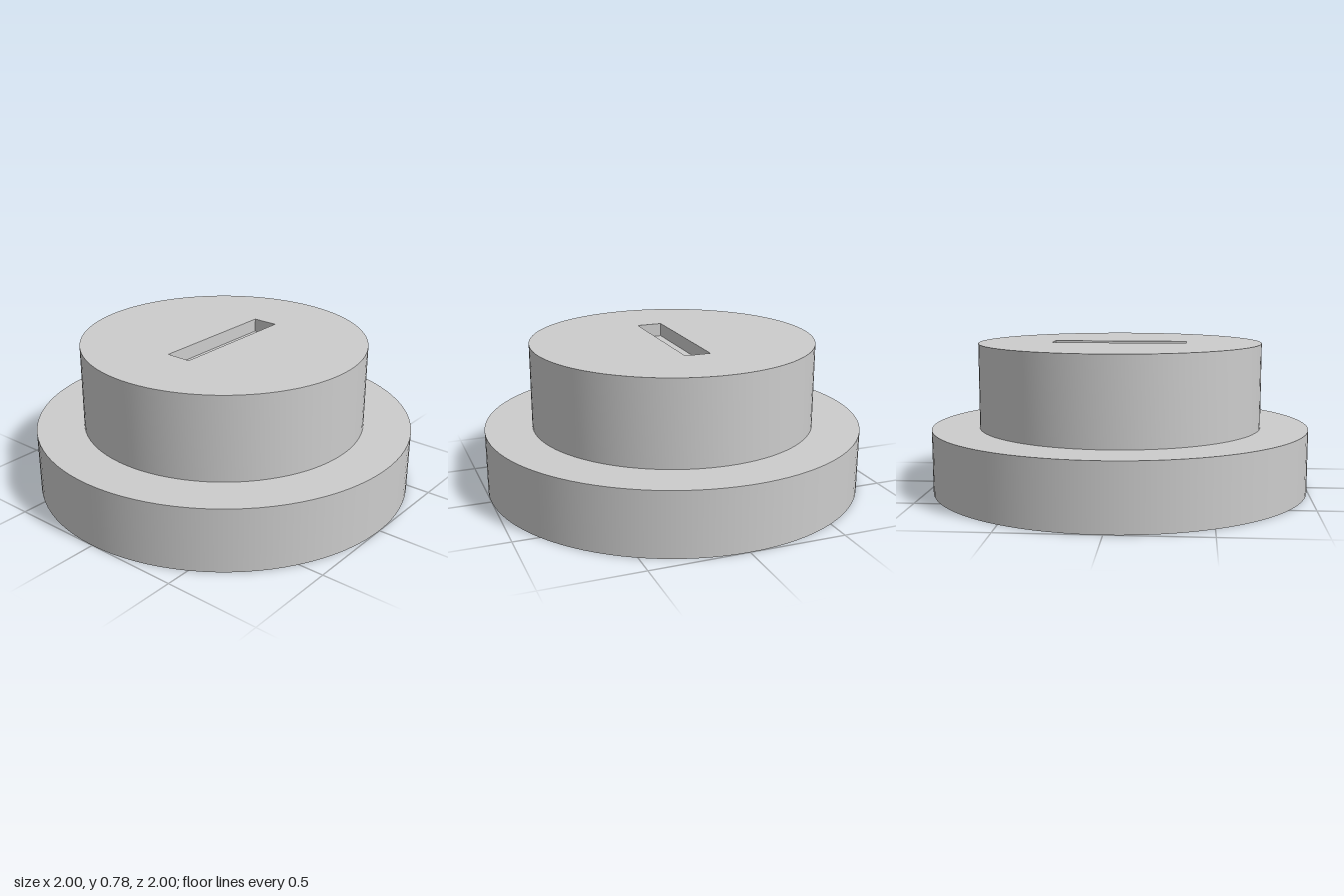
import * as THREE from 'three';
import { toCreasedNormals } from 'three/addons/utils/BufferGeometryUtils.js';

export function createModel() {
  const model = new THREE.Group();
  model.name = 'slottedPlug';
  const grey = new THREE.MeshStandardMaterial({ color: 0xcccccc });
  grey.name = 'plain grey';

  const flangeHeight = 0.335, totalHeight = 0.78, slotDepth = 0.07;
  const slotX = 0.355, slotZ = 0.068;

  const add = (name, geometry, y) => {
    const mesh = new THREE.Mesh(geometry, grey);
    mesh.name = name;
    mesh.position.y = y;
    model.add(mesh);
  };

  // Wide round flange at the bottom
  add('flange', new THREE.CylinderGeometry(1, 1, flangeHeight, 96), flangeHeight / 2);

  // Narrower round head with a rectangular slot cut through its top
  const outline = new THREE.Shape().absarc(0, 0, 0.75, 0, Math.PI * 2, false);
  outline.holes.push(new THREE.Path([
    new THREE.Vector2(-slotX, -slotZ), new THREE.Vector2(-slotX, slotZ),
    new THREE.Vector2(slotX, slotZ), new THREE.Vector2(slotX, -slotZ),
  ]).closePath());
  const head = new THREE.ExtrudeGeometry(outline, {
    depth: totalHeight - flangeHeight, bevelEnabled: false, curveSegments: 48,
  });
  head.rotateX(-Math.PI / 2);
  add('head', toCreasedNormals(head, Math.PI / 6), flangeHeight);

  // Floor of the slot
  const floor = new THREE.PlaneGeometry(slotX * 2, slotZ * 2).rotateX(-Math.PI / 2);
  add('slotFloor', floor, totalHeight - slotDepth);

  return model;
}
